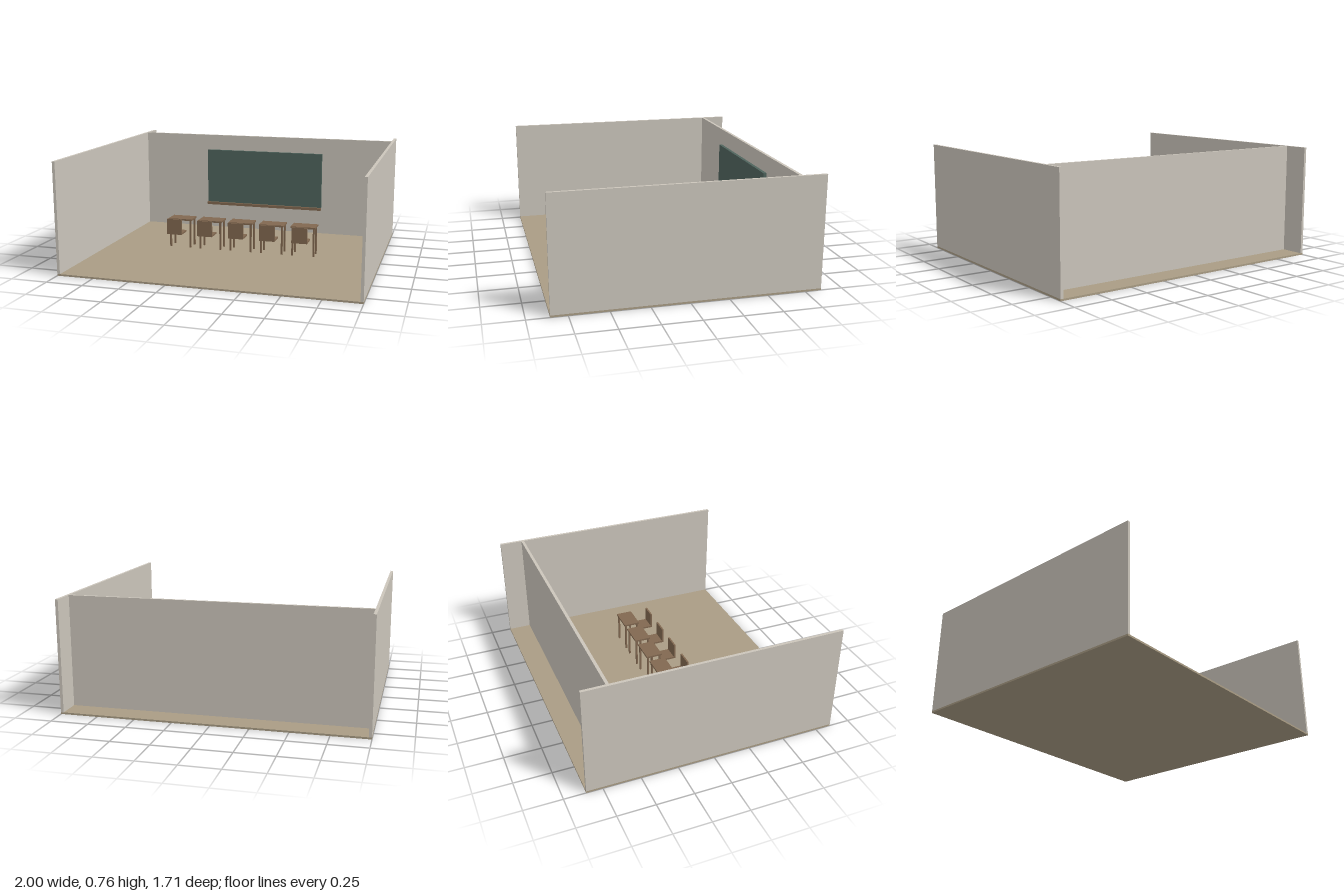
import * as THREE from 'three';

const mat = (name, color) => {
  const m = new THREE.MeshStandardMaterial({ color });
  m.name = name;
  return m;
};

export function createModel() {
  const wall = mat('wall plaster', 0xcbc5bb);
  const floorMat = mat('floor tan', 0xa99c84);
  const boardMat = mat('board green', 0x4f645d);
  const wood = mat('brown wood', 0x816850);

  // Box given by its minimum and maximum corners
  const box = (parent, name, m, [x0, y0, z0], [x1, y1, z1]) => {
    const mesh = new THREE.Mesh(new THREE.BoxGeometry(x1 - x0, y1 - y0, z1 - z0), m);
    mesh.position.set((x0 + x1) / 2, (y0 + y1) / 2, (z0 + z1) / 2);
    mesh.name = name;
    parent.add(mesh);
  };
  const group = (parent, name) => {
    const g = new THREE.Group();
    g.name = name;
    parent.add(g);
    return g;
  };

  const room = new THREE.Group();
  room.name = 'classroom';

  // Floor slab and the three walls standing on it
  const F = 0.012, H = 0.757, D = 0.857;
  box(room, 'floor', floorMat, [-1, 0, -D], [1, F, D]);
  box(room, 'leftWall', wall, [0.981, F, -D], [1, H, D]);
  box(room, 'rightWall', wall, [-1, F, -D], [-0.981, H, D]);
  box(room, 'backWall', wall, [-0.981, F, -0.7], [0.981, H, -0.68]);

  // Board with a tray along its lower edge
  box(room, 'board', boardMat, [-0.46, 0.22, -0.68], [0.46, 0.64, -0.658]);
  box(room, 'boardTray', wood, [-0.46, 0.2, -0.68], [0.46, 0.22, -0.64]);

  // Row of desks, each with a chair in front
  for (let i = -2; i <= 2; i++) {
    const desk = group(room, 'desk');
    desk.position.x = i * 0.2285;
    box(desk, 'deskTop', wood, [-0.088, 0.213, -0.104], [0.088, 0.225, 0.01]);
    for (const sx of [-1, 1]) for (const z of [-0.092, -0.002]) {
      const x = sx * 0.076;
      box(desk, 'deskLeg', wood, [x - 0.006, F, z - 0.006], [x + 0.006, 0.213, z + 0.006]);
    }

    const chair = group(room, 'chair');
    chair.position.x = i * 0.2285;
    box(chair, 'chairSeat', wood, [-0.055, 0.137, 0.024], [0.055, 0.149, 0.119]);
    box(chair, 'chairBack', wood, [-0.055, 0.137, 0.119], [0.055, 0.249, 0.131]);
  }
  return room;
}
